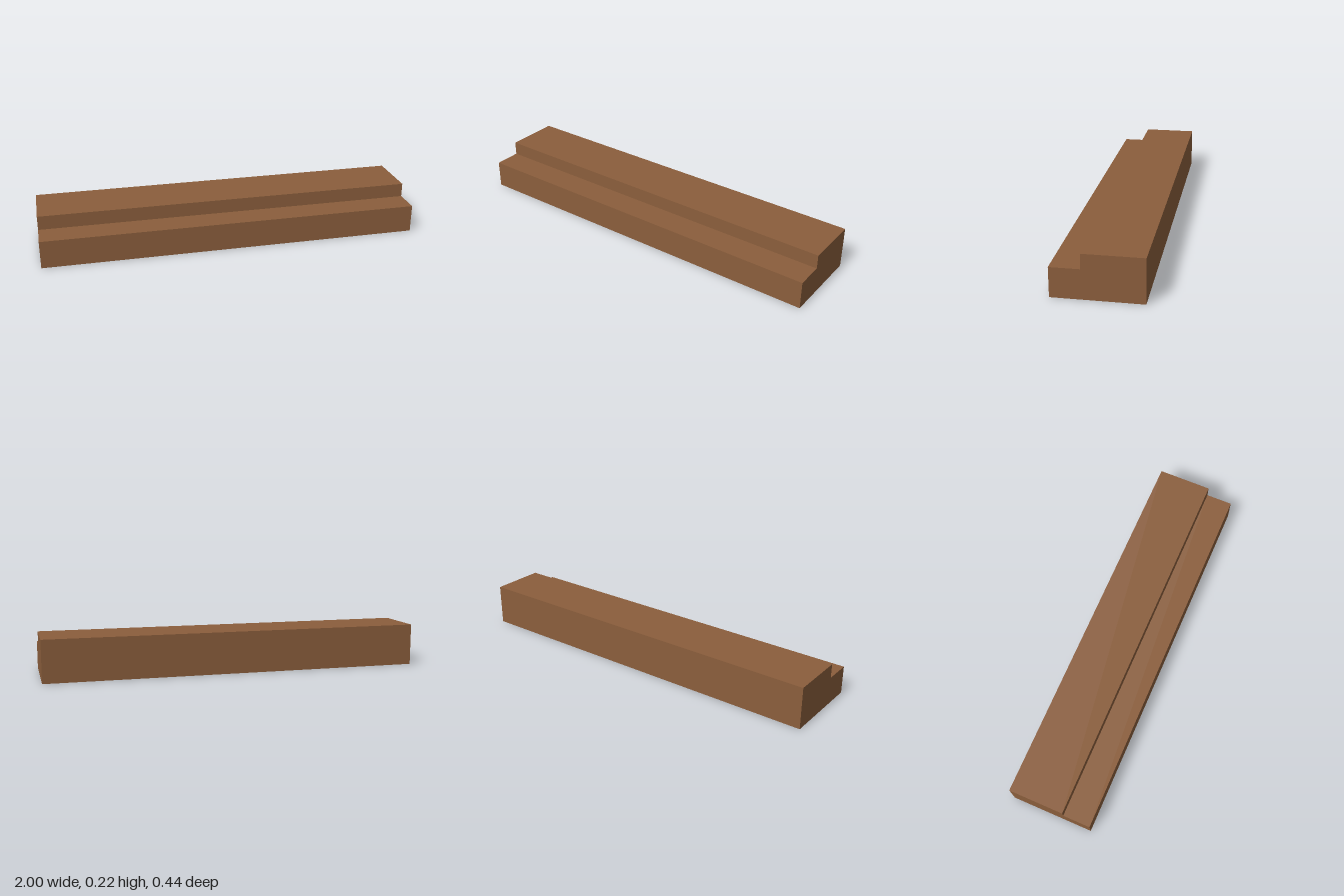
import * as THREE from 'three';

const LENGTH = 2;

// Step cross-section as [z, y], from the front foot over the tread to the back foot
const PROFILE = [
  [0.218, 0], [0.218, 0.147], [0.073, 0.147],
  [0.073, 0.221], [-0.218, 0.221], [-0.218, 0],
];
const FACE_NAMES = ['frontRiser', 'lowerTread', 'upperRiser', 'upperTread', 'backWall'];

export function createModel() {
  const group = new THREE.Group();
  group.name = 'hollowStep';

  const wood = new THREE.MeshStandardMaterial({ color: 0x8b5e3c, side: THREE.DoubleSide });
  wood.name = 'brownWood';

  const add = (name, geometry) => {
    const mesh = new THREE.Mesh(geometry, wood);
    mesh.name = name;
    group.add(mesh);
    return mesh;
  };

  // Long faces: one thin panel per profile segment; the underside stays open
  FACE_NAMES.forEach((name, i) => {
    const [z0, y0] = PROFILE[i];
    const [z1, y1] = PROFILE[i + 1];
    const dz = z1 - z0, dy = y1 - y0;
    const panel = add(name, new THREE.PlaneGeometry(LENGTH, Math.hypot(dz, dy)));
    panel.rotation.x = Math.atan2(dz, dy);
    panel.position.set(0, (y0 + y1) / 2, (z0 + z1) / 2);
  });

  // Stepped end panels, each facing outwards
  for (const side of [1, -1]) {
    const shape = new THREE.Shape(PROFILE.map(([z, y]) => new THREE.Vector2(-side * z, y)));
    const end = add(side > 0 ? 'leftEnd' : 'rightEnd', new THREE.ShapeGeometry(shape));
    end.rotation.y = side * Math.PI / 2;
    end.position.x = side * LENGTH / 2;
  }

  return group;
}
